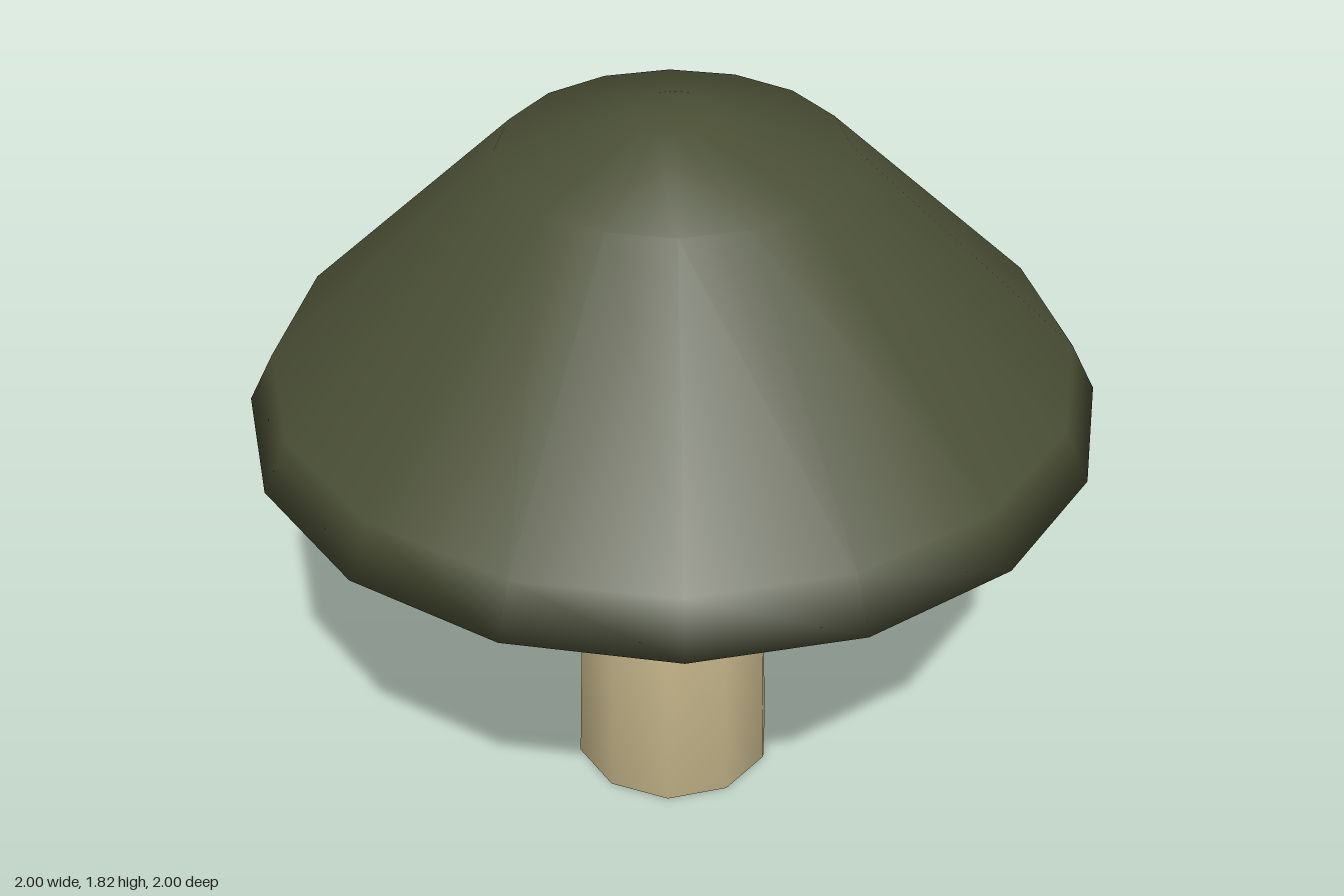
import * as THREE from 'three';

// Smooth-shaded solid of revolution from [radius, height] pairs, bottom to top
function turned(name, profile, sides, phase, color) {
  const points = profile.map(([r, y]) => new THREE.Vector2(r, y));
  const mesh = new THREE.Mesh(
    new THREE.LatheGeometry(points, sides, phase),
    new THREE.MeshStandardMaterial({ color })
  );
  mesh.name = name;
  return mesh;
}

export function createModel() {
  const group = new THREE.Group();
  group.name = 'mushroom';

  // Ten-sided stem, slightly tapered, its top tucked into the cap
  group.add(turned('stem', [[0, 0], [0.25, 0], [0.22, 1.0], [0, 1.0]], 10, Math.PI / 2, 0xcbbb8e));

  // Sixteen-sided cap: shallow underside, pointed rim, sloping crown
  group.add(turned('cap', [
    [0, 0.98], [0.21, 0.98], [1, 1.07], [0.94, 1.19],
    [0.4, 1.72], [0.095, 1.815], [0, 1.815],
  ], 16, 0, 0x4a4f35));

  return group;
}
